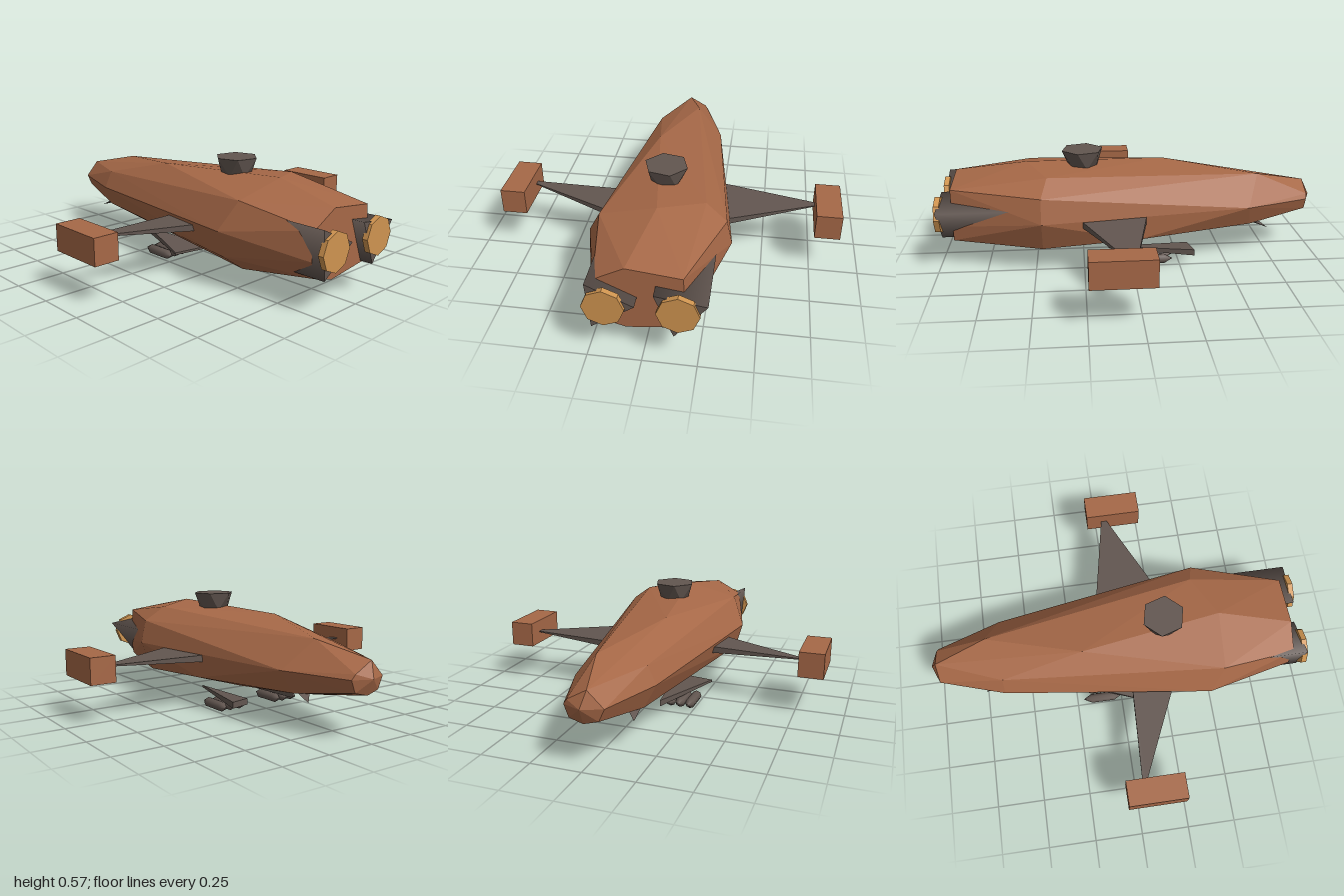
import * as THREE from 'three';
import { ConvexGeometry } from 'three/addons/geometries/ConvexGeometry.js';

const paint = (name, color) => {
  const m = new THREE.MeshStandardMaterial({ color });
  m.name = name;
  return m;
};

export function createModel() {
  const model = new THREE.Group();
  model.name = 'spaceship';
  const rust = paint('rust hull', 0xa66847);
  const grey = paint('dark grey metal', 0x625650);
  const gold = paint('gold exhaust', 0xcf9450);

  const add = (name, geometry, material, x = 0, y = 0, z = 0) => {
    const mesh = new THREE.Mesh(geometry, material);
    mesh.name = name;
    mesh.position.set(x, y, z);
    model.add(mesh);
    return mesh;
  };
  // Faceted solid wrapped around a few corner points
  const facet = (points) => new ConvexGeometry(points.map((p) => new THREE.Vector3(...p)));

  // Hull: slightly uneven rings from the engine end to the nose
  const engineEnd = [
    [-0.235, 0.24], [-0.22, 0.38], [-0.08, 0.455], [0.175, 0.425],
    [0.185, 0.23], [0.175, 0.15], [-0.08, 0.12], [-0.19, 0.15],
  ].map(([x, y]) => [x, y, 0.92]);
  const widest = [
    [-0.352, 0.3, 0.46], [-0.28, 0.448, 0.53], [0, 0.514, 0.54], [0.22, 0.49, 0.43],
    [0.324, 0.414, 0.46], [0.352, 0.29, 0.46], [0.286, 0.133, 0.46], [0, 0.062, 0.54],
    [-0.214, 0.09, 0.5], [-0.314, 0.167, 0.46],
  ];
  const middle = [[-0.1, 0.487, -0.19], [0.28, 0.165, -0.03], [0.03, 0.092, -0.05]];
  const shoulder = [
    [-0.205, 0.29, -0.62], [0.205, 0.29, -0.62], [0.06, 0.432, -0.69],
    [-0.16, 0.38, -0.62], [0.15, 0.18, -0.64], [-0.15, 0.18, -0.64], [0, 0.16, -0.68],
  ];
  const nose = [
    [-0.097, 0.29, -0.96], [0.093, 0.29, -0.96], [-0.02, 0.368, -0.965], [0.075, 0.315, -0.965],
    [-0.07, 0.23, -0.96], [0.07, 0.23, -0.96], [0, 0.212, -0.965], [0, 0.29, -1],
  ];
  add('hull', facet([...engineEnd, ...widest, ...middle, ...shoulder, ...nose]), rust);

  // Turret: hexagon flaring upwards from a turned, smaller hexagon
  const turret = [];
  for (let i = 0; i < 6; i++) {
    const a = (i * Math.PI) / 3 + 0.3;
    const b = a + Math.PI / 6;
    turret.push([0.112 * Math.sin(a), 0.575, 0.245 + 0.112 * Math.cos(a)]);
    turret.push([0.075 * Math.sin(b), 0.48, 0.245 + 0.075 * Math.cos(b)]);
  }
  add('turret', facet(turret), grey);

  // Wings tapering from a thick root to a thin tip, each with a pod
  for (const [side, lead, y] of [[1, -0.085, 0.27], [-1, 0.055, 0.262]]) {
    const label = side > 0 ? 'left' : 'right';
    const points = [];
    for (const dy of [-0.02, 0.02]) {
      points.push([side * 0.2, y + dy, lead], [side * 0.2, y + dy, 0.31]);
      points.push([side * 0.78, 0.27 + dy * 0.1, 0.027], [side * 0.78, 0.27 + dy * 0.1, 0.045]);
    }
    add(label + 'Wing', facet(points), grey);
    add(label + 'WingPod', new THREE.BoxGeometry(0.13, 0.133, 0.303), rust, side * 0.823, 0.27, 0.092);
  }

  // Engines: three-sided smooth housings with gold exhaust discs
  for (const [label, x, turn] of [['left', 0.162, 0.38], ['right', -0.165, 0.08]]) {
    const housing = new THREE.CylinderGeometry(0.137, 0.137, 0.5, 3);
    housing.rotateY(Math.PI / 2).rotateX(Math.PI / 2).rotateZ(turn);
    add(label + 'EngineHousing', housing, grey, x, 0.29, 0.735);
    const disc = new THREE.CylinderGeometry(0.096, 0.096, 0.028, 8).rotateX(Math.PI / 2).toNonIndexed();
    disc.computeVertexNormals();
    add(label + 'Exhaust', disc, gold, x, 0.29, 0.986);
  }

  // Thin triangular pylons below the hull
  const pylons = {
    left: [[0.158, 0.12], [0.16, -0.3], [0.265, -0.325]],
    right: [[-0.06, 0.12], [-0.115, -0.325], [-0.275, 0.08]],
  };
  for (const [label, corners] of Object.entries(pylons)) {
    const points = corners.flatMap(([x, z]) => {
      const half = z < 0 ? 0.016 : 0.006;
      return [[x, 0.073 - half, z], [x, 0.073 + half, z]];
    });
    add(label + 'Pylon', facet(points), grey);
  }

  // Missiles: three smooth, double-pointed rods on each side
  const profile = [[0, -0.108], [0.026, -0.063], [0.026, 0.063], [0, 0.108]];
  const rod = new THREE.LatheGeometry(profile.map((p) => new THREE.Vector2(...p)), 8);
  rod.rotateX(Math.PI / 2);
  for (const x of [-0.226, -0.172, -0.12, 0.118, 0.172, 0.225]) {
    add('missile', rod, grey, x, 0.028, -0.107);
  }

  // Small fins under the nose
  for (const s of [-1, 1]) {
    add('noseFin', facet([
      [s * 0.09, 0.2, -0.58], [s * 0.15, 0.22, -0.6],
      [s * 0.14, 0.152, -0.74], [s * 0.08, 0.19, -0.68],
    ]), grey);
  }

  return model;
}
